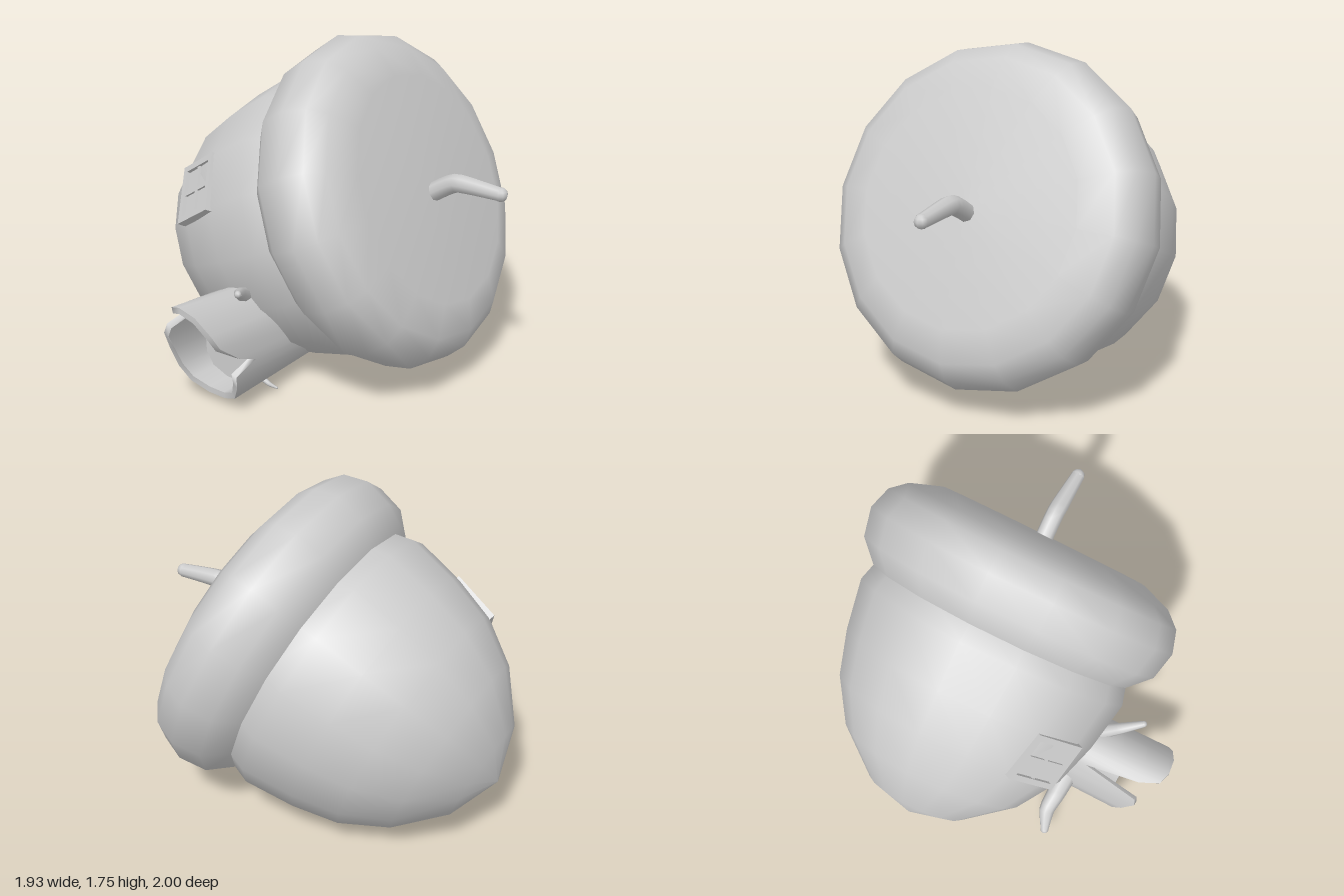
import * as THREE from 'three';
import { mergeGeometries } from 'three/addons/utils/BufferGeometryUtils.js';

const mat = new THREE.MeshStandardMaterial({ color: 0xcccccc, side: THREE.DoubleSide });

function mesh(name, geo) {
  const m = new THREE.Mesh(geo, mat);
  m.name = name;
  return m;
}

const lathe = (pts, segs) => new THREE.LatheGeometry(pts.map(p => new THREE.Vector2(...p)), segs);

// Tapering twig: a tube whose rings follow a list of radii, with a rounded tip
function twig(name, path, radii) {
  const pts = path.map(p => new THREE.Vector3(...p));
  const curve = new THREE.CatmullRomCurve3(pts, false, 'catmullrom', 0.25);
  const segs = 12, sides = 8;
  const geo = new THREE.TubeGeometry(curve, segs, 1, sides);
  const pos = geo.attributes.position, nor = geo.attributes.normal;
  for (let i = 0; i <= segs; i++) {
    const centre = curve.getPointAt(i / segs);
    const f = (i / segs) * (radii.length - 1), k = Math.min(Math.floor(f), radii.length - 2);
    const r = THREE.MathUtils.lerp(radii[k], radii[k + 1], f - k);
    for (let j = 0; j <= sides; j++) {
      const n = i * (sides + 1) + j;
      const v = new THREE.Vector3().fromBufferAttribute(nor, n).multiplyScalar(r).add(centre);
      pos.setXYZ(n, v.x, v.y, v.z);
    }
  }
  const tip = new THREE.SphereGeometry(radii[radii.length - 1], sides, 6);
  tip.translate(...path[path.length - 1]);
  return mesh(name, mergeGeometries([geo, tip]));
}

// Closed band of quads between two matching loops of points
function band(from, to) {
  const n = from.length, index = [];
  for (let i = 0; i < n; i++) {
    const j = (i + 1) % n;
    index.push(i, j, n + j, i, n + j, n + i);
  }
  const geo = new THREE.BufferGeometry();
  geo.setAttribute('position', new THREE.Float32BufferAttribute([...from, ...to].flat(), 3));
  geo.setIndex(index);
  geo.computeVertexNormals();
  return geo;
}

// Hollow log porch with a broken, notched mouth, and the door inside it
function makePorch() {
  const g = new THREE.Group();
  g.name = 'porch';
  const outer = [ // x, y, z of the mouth edge, counter-clockwise
    [0.045, 0.28, 0.68], [0.043, 0.33, 0.8], [0.03, 0.43, 0.93], [0, 0.5, 0.96],
    [-0.07, 0.59, 0.99], [-0.155, 0.625, 1], [-0.22, 0.605, 0.98], [-0.26, 0.57, 0.88],
    [-0.295, 0.52, 0.59], [-0.325, 0.46, 0.9], [-0.34, 0.41, 0.91], [-0.36, 0.3, 0.85],
    [-0.35, 0.18, 0.8], [-0.3, 0.1, 0.77], [-0.2, 0.055, 0.75], [-0.1, 0.05, 0.75],
    [-0.02, 0.08, 0.77], [0.03, 0.17, 0.81], [0.043, 0.24, 0.83],
  ];
  const inner = outer.map(([x, y, z]) => {
    const dx = x + 0.155, dy = y - 0.32, s = 1 - 0.032 / Math.hypot(dx, dy);
    return [-0.155 + dx * s, 0.32 + dy * s, z];
  });
  const back = (loop, z, s) => loop.map(([x, y]) => [x, 0.05 + (y - 0.05) * s, z]);
  g.add(mesh('hollowLog', mergeGeometries([
    band(back(outer, 0.1, 0.8), outer),
    band(outer, inner),
    band(inner, back(inner, 0.1, 0.8)),
  ])));

  const shape = new THREE.Shape(back(inner, 0, 0.92).map(([x, y]) => new THREE.Vector2(x, y)));
  const door = mesh('door', new THREE.ShapeGeometry(shape));
  door.position.z = 0.61;
  const knob = mesh('doorKnob', new THREE.SphereGeometry(0.009, 8, 6));
  knob.position.set(-0.025, 0.27, 0.618);
  g.add(door, knob);

  g.add(twig('sideBranch',
    [[-0.32, 0.29, 0.5], [-0.45, 0.255, 0.5], [-0.54, 0.215, 0.495], [-0.63, 0.135, 0.53]],
    [0.062, 0.052, 0.042, 0.022]));
  g.add(twig('topBranch', [[-0.1, 0.55, 0.58], [-0.05, 0.605, 0.67], [0.013, 0.65, 0.765]], [0.04, 0.03, 0.018]));
  g.add(twig('rootlet', [[-0.07, 0.065, 0.49], [-0.01, 0.047, 0.5], [0.045, 0.046, 0.51]], [0.016, 0.012, 0.006]));
  return g;
}

// Four-pane window, lying on the sloping wall
function makeWindow() {
  const g = new THREE.Group();
  g.name = 'window';
  const w = 0.275, h = 0.315, t = 0.032;
  const bar = (name, sx, sy, sz, x, y) => {
    const b = mesh(name, new THREE.BoxGeometry(sx, sy, sz));
    b.position.set(x, y, 0);
    g.add(b);
  };
  for (const s of [-1, 1]) {
    bar('frameSide', t, h, 0.045, s * (w - t) / 2, 0);
    bar('frameRail', w - 2 * t, t, 0.045, 0, s * (h - t) / 2);
  }
  bar('uprightBar', 0.02, h - 2 * t, 0.03, 0, 0);
  bar('crossBar', w - 2 * t, 0.02, 0.03, 0, 0);
  bar('panes', w - 2 * t, h - 2 * t, 0.008, 0, 0);
  const right = new THREE.Vector3(0.235, 0.145, 0.05).normalize();
  const out = right.clone().cross(new THREE.Vector3(-0.1, 0.235, -0.19)).normalize();
  const up = out.clone().cross(right);
  g.setRotationFromMatrix(new THREE.Matrix4().makeBasis(right, up, out));
  g.position.set(-0.494, 0.983, 0.432);
  return g;
}

export function createModel() {
  const model = new THREE.Group();
  model.name = 'acornHouse';

  // Tilted nut and cap share one axis
  const acorn = new THREE.Group();
  acorn.name = 'acorn';
  acorn.position.set(-0.2915, 0.672, -0.13);
  acorn.rotation.z = -1.162;
  acorn.add(mesh('nutBody', lathe([
    [0, -0.708], [0.275, -0.612], [0.506, -0.412], [0.647, -0.185],
    [0.716, 0.05], [0.761, 0.318], [0.72, 0.46],
  ], 16)));
  acorn.add(mesh('cap', lathe([
    [0.66, 0.4], [0.735, 0.409], [0.84, 0.52], [0.872, 0.672],
    [0.833, 0.793], [0.752, 0.864], [0.589, 0.922], [0, 0.925],
  ], 16)));
  model.add(acorn);

  model.add(twig('stem', [[0.53, 1.0, -0.13], [0.685, 1.09, -0.13], [0.932, 1.08, -0.13]], [0.048, 0.048, 0.036]));
  model.add(makeWindow());
  model.add(makePorch());
  return model;
}
